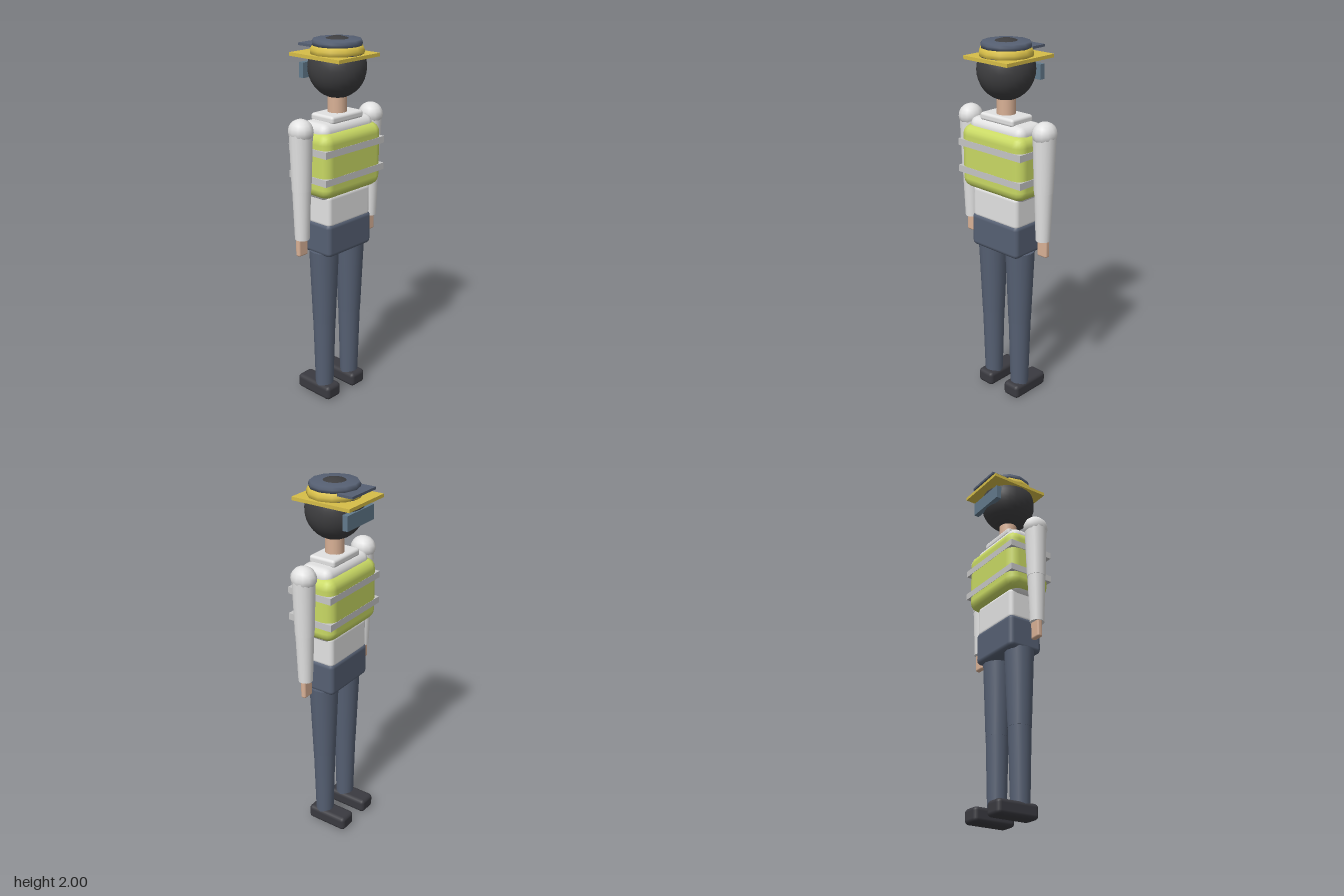
import * as THREE from 'three';
import { RoundedBoxGeometry } from 'three/addons/geometries/RoundedBoxGeometry.js';

const material = (name, color) => {
  const m = new THREE.MeshStandardMaterial({ color });
  m.name = name;
  return m;
};

export function createModel() {
  const group = new THREE.Group();
  const white = material('white shirt', 0xe2e2e2);
  const lime = material('lime vest', 0xc9d964);
  const silver = material('silver stripe', 0xc6c6c6);
  const navy = material('navy cloth', 0x566073);
  const black = material('black shoe', 0x3a3a40);
  const dark = material('dark head', 0x3e3e40);
  const skin = material('skin', 0xd9b196);
  const yellow = material('yellow hat', 0xd6bd48);
  const visorBlue = material('visor blue', 0x627a8c);
  const Z = 0.016; // body axis

  const add = (name, geometry, mat, x, y, z = Z) => {
    const mesh = new THREE.Mesh(geometry, mat);
    mesh.name = name;
    mesh.position.set(x, y, z);
    group.add(mesh);
    return mesh;
  };
  // box given by its bottom and top heights; a radius rounds the edges
  const box = (name, mat, x, w, y0, y1, d, z = Z, radius = 0) => {
    const h = y1 - y0;
    const geometry = radius
      ? new RoundedBoxGeometry(w, h, d, 2, radius)
      : new THREE.BoxGeometry(w, h, d);
    return add(name, geometry, mat, x, (y0 + y1) / 2, z);
  };
  const limb = (name, mat, x, y0, y1, r0, r1, sides = 16) =>
    add(name, new THREE.CylinderGeometry(r1, r0, y1 - y0, sides), mat, x, (y0 + y1) / 2);
  const lathe = (name, mat, points) =>
    add(name, new THREE.LatheGeometry(points.map(p => new THREE.Vector2(...p)), 12), mat, 0, 0);

  // torso
  box('pelvis', navy, 0, 0.33, 0.878, 1.063, 0.2, Z, 0.025);
  box('abdomen', white, 0, 0.32, 1.04, 1.22, 0.19, Z, 0.025);
  box('chest', white, 0, 0.376, 1.19, 1.59, 0.19, Z, 0.045);
  box('vest', lime, 0, 0.43, 1.208, 1.55, 0.26, Z, 0.055);
  for (const y of [1.29, 1.435]) box('vestStripe', silver, 0, 0.438, y, y + 0.036, 0.262);
  box('collar', white, 0, 0.232, 1.578, 1.62, 0.155, Z, 0.015);

  // arms and legs
  for (const s of [-1, 1]) {
    const arm = 0.26 * s, leg = 0.1 * s;
    add('shoulder', new THREE.SphereGeometry(0.062, 12, 10), white, arm, 1.563).scale.z = 1.1;
    limb('upperArm', white, arm, 1.26, 1.57, 0.05, 0.06);
    limb('forearm', white, arm, 0.995, 1.26, 0.038, 0.048);
    box('hand', skin, arm, 0.065, 0.903, 1.01, 0.03, 0.012, 0.01);
    limb('thigh', navy, leg, 0.47, 0.89, 0.062, 0.079);
    limb('shin', navy, leg, 0.07, 0.475, 0.05, 0.061);
    box('shoe', black, leg, 0.106, 0.004, 0.085, 0.243, -0.027, 0.022);
  }

  // head
  limb('neck', skin, 0, 1.6, 1.74, 0.05, 0.05);
  add('head', new THREE.SphereGeometry(1, 24, 18), dark, 0, 1.845).scale.set(0.147, 0.155, 0.152);
  box('visor', visorBlue, 0, 0.23, 1.787, 1.865, 0.03, -0.125);

  // hat
  box('hatBrim', yellow, 0, 0.298, 1.896, 1.914, 0.34, -0.003);
  lathe('hatBand', yellow, [[0.125, 1.9], [0.139, 1.918], [0.14, 1.935], [0.132, 1.953], [0.1, 1.968]]);
  lathe('hatCrown', navy, [[0.1, 1.948], [0.127, 1.955], [0.13, 1.972], [0.122, 1.985], [0.05, 1.988], [0, 1.988]]);
  box('hatPeak', navy, 0, 0.2, 1.945, 1.958, 0.09, -0.113);

  return group;
}
